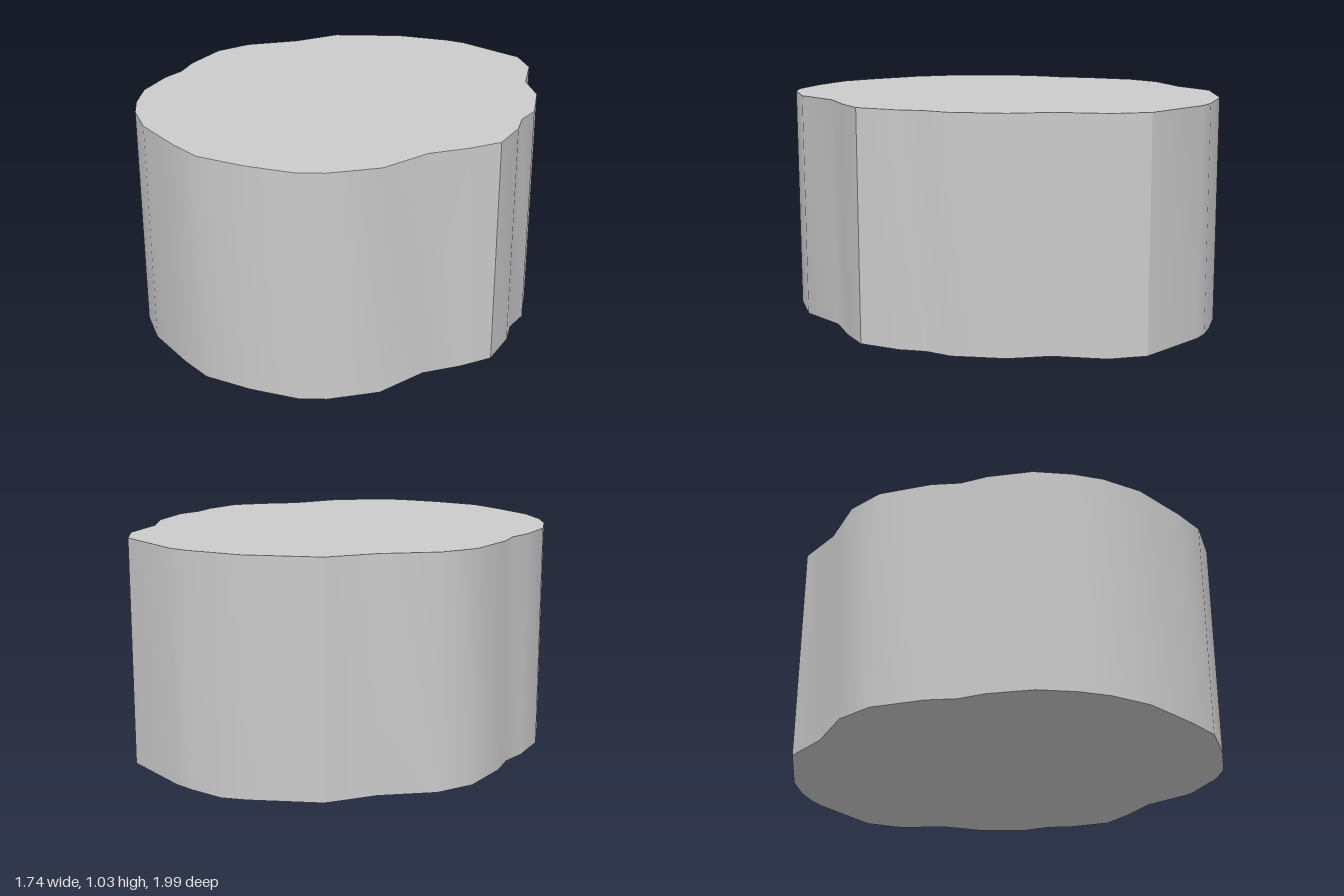
import * as THREE from 'three';
import { toCreasedNormals } from 'three/addons/utils/BufferGeometryUtils.js';

const TOP = 1.035;
const BASE = 0.017;

// Irregular outline (x, z), clockwise seen from above, starting at the back
const OUTLINE = [
  [0, -0.99], [0.14, -1], [0.23, -0.99], [0.56, -0.86], [0.66, -0.72], [0.71, -0.49],
  [0.81, -0.33], [0.865, -0.1], [0.845, 0.02], [0.865, 0.14], [0.85, 0.33],
  [0.75, 0.45], [0.62, 0.57], [0.51, 0.79], [0.33, 0.93], [0.22, 0.975],
  [0, 0.99], [-0.22, 0.975], [-0.37, 0.9], [-0.6, 0.76], [-0.73, 0.62],
  [-0.8, 0.5], [-0.86, 0.34], [-0.87, 0.14], [-0.85, 0.02], [-0.87, -0.11],
  [-0.855, -0.35], [-0.77, -0.51], [-0.57, -0.675], [-0.43, -0.86], [-0.12, -0.98],
];

// The underside sags very slightly towards the back
function baseHeight(x, z) {
  const sag = THREE.MathUtils.smoothstep(-z, -0.2, 0.55);
  return BASE * (1 - Math.exp(-((x / 0.13) ** 2)) * sag);
}

function surface(triangles) {
  const geometry = new THREE.BufferGeometry();
  geometry.setAttribute('position', new THREE.Float32BufferAttribute(triangles.flat(), 3));
  return toCreasedNormals(geometry, Math.PI / 6);
}

export function createModel() {
  const group = new THREE.Group();
  group.name = 'irregularBlock';
  const material = new THREE.MeshStandardMaterial({ color: 0xcccccc });

  const upper = ([x, z]) => [x, TOP, z];
  const lower = ([x, z], s = 1) => [x * s, baseHeight(x * s, z * s), z * s];
  const walls = [], top = [], bottom = [];
  const rings = 8;

  OUTLINE.forEach((a, i) => {
    const b = OUTLINE[(i + 1) % OUTLINE.length];
    walls.push(lower(a), upper(a), upper(b), lower(a), upper(b), lower(b));
    top.push([0, TOP, 0], upper(b), upper(a));
    // Underside in concentric rings
    for (let r = 0; r < rings; r++) {
      const s = r / rings, t = (r + 1) / rings;
      bottom.push(lower(a, s), lower(a, t), lower(b, t));
      if (r > 0) bottom.push(lower(a, s), lower(b, t), lower(b, s));
    }
  });

  for (const [name, triangles] of Object.entries({ sideWall: walls, topFace: top, underside: bottom })) {
    const mesh = new THREE.Mesh(surface(triangles), material);
    mesh.name = name;
    group.add(mesh);
  }
  return group;
}
